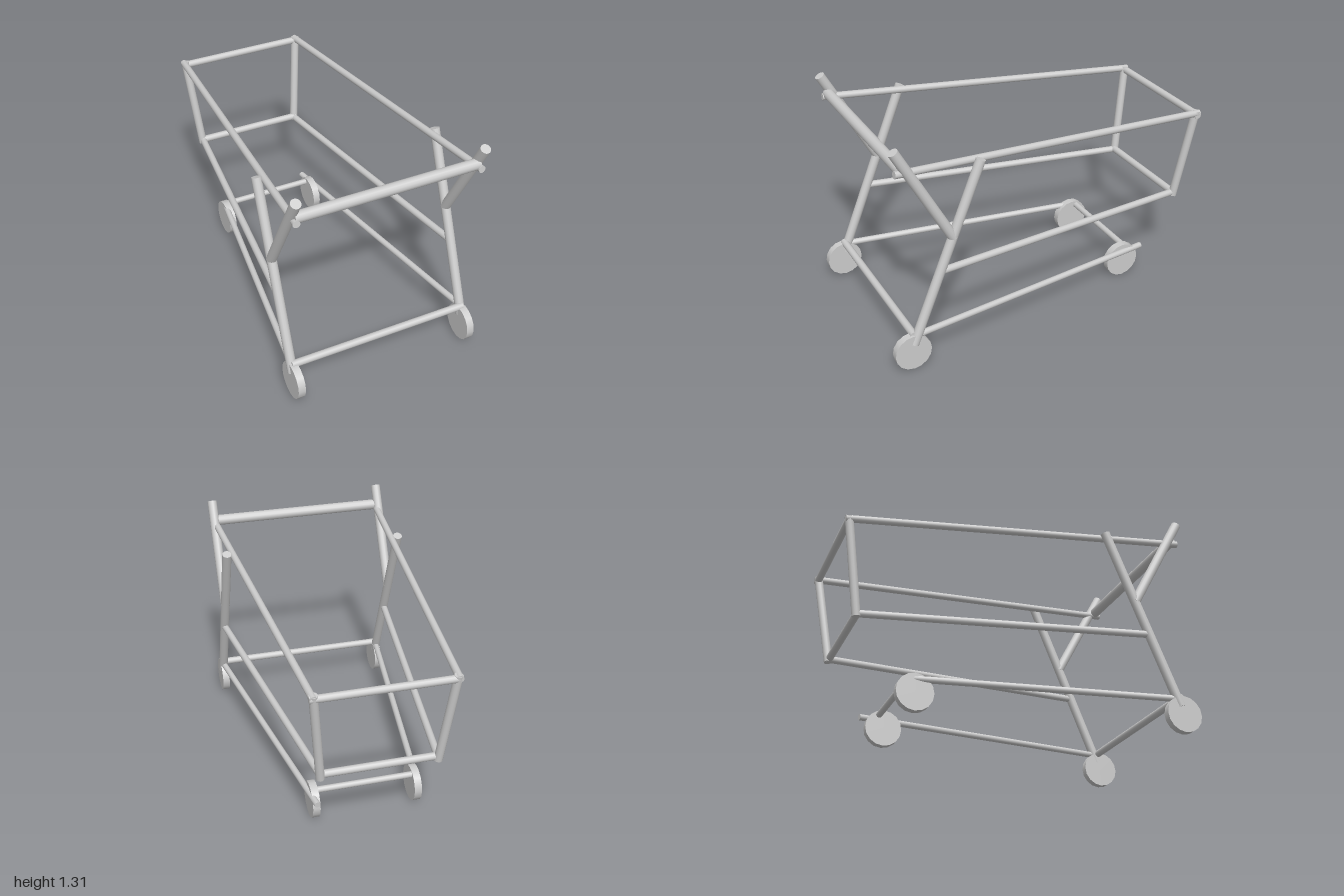
import * as THREE from 'three';

const material = new THREE.MeshStandardMaterial({ color: 0xcccccc });

// Round tube between two points
function bar(name, from, to, radius) {
  const a = new THREE.Vector3(...from);
  const b = new THREE.Vector3(...to);
  const dir = b.clone().sub(a);
  const mesh = new THREE.Mesh(new THREE.CylinderGeometry(radius, radius, dir.length(), 14), material);
  mesh.position.copy(a).add(b).multiplyScalar(0.5);
  mesh.quaternion.setFromUnitVectors(new THREE.Vector3(0, 1, 0), dir.normalize());
  mesh.name = name;
  return mesh;
}

// Disc wheel with its axle along x
function wheel(name, x, y, z) {
  const geometry = new THREE.CylinderGeometry(0.104, 0.104, 0.042, 16).rotateZ(Math.PI / 2);
  const mesh = new THREE.Mesh(geometry, material);
  mesh.position.set(x, y, z);
  mesh.name = name;
  return mesh;
}

export function createModel() {
  const cart = new THREE.Group();
  cart.name = 'cart';

  // Mirrored side frames
  for (const [side, s] of [['left', 1], ['right', -1]]) {
    const frame = new THREE.Group();
    frame.name = side + 'SideFrame';
    frame.add(
      bar('leg', [s * 0.52, 0.16, 0.885], [s * 0.52, 1.16, 0.475], 0.027),
      bar('handleArm', [s * 0.52, 0.75, 0.64], [s * 0.52, 1.31, 0.943], 0.028),
      bar('topRail', [s * 0.515, 1.185, 0.94], [s * 0.372, 1.025, -0.99], 0.02),
      bar('lowerRail', [s * 0.52, 0.565, 0.71], [s * 0.315, 0.505, -0.9], 0.02),
      bar('basketUpright', [s * 0.37, 1.04, -0.972], [s * 0.318, 0.488, -0.89], 0.024),
      wheel('frontWheel', s * 0.517, 0.115, 0.897)
    );
    cart.add(frame);
  }

  // Base rails: the left one runs on past its wheel
  cart.add(
    bar('leftBaseRail', [0.52, 0.21, 0.87], [0.285, 0.17, -0.7], 0.018),
    bar('rightBaseRail', [-0.52, 0.205, 0.87], [-0.305, 0.19, -0.58], 0.018),
    wheel('leftRearWheel', 0.281, 0.115, -0.565),
    wheel('rightRearWheel', -0.303, 0.115, -0.56)
  );

  // Cross bars
  cart.add(
    bar('handleBar', [-0.515, 1.2, 0.905], [0.515, 1.2, 0.905], 0.031),
    bar('frontBaseBar', [-0.525, 0.215, 0.885], [0.525, 0.215, 0.885], 0.021),
    bar('rearBaseBar', [-0.3, 0.19, -0.592], [0.29, 0.19, -0.592], 0.018),
    bar('basketTopBar', [-0.375, 1.02, -0.972], [0.392, 1.02, -0.972], 0.021),
    bar('basketBottomBar', [-0.325, 0.51, -0.885], [0.325, 0.51, -0.885], 0.021)
  );

  return cart;
}
